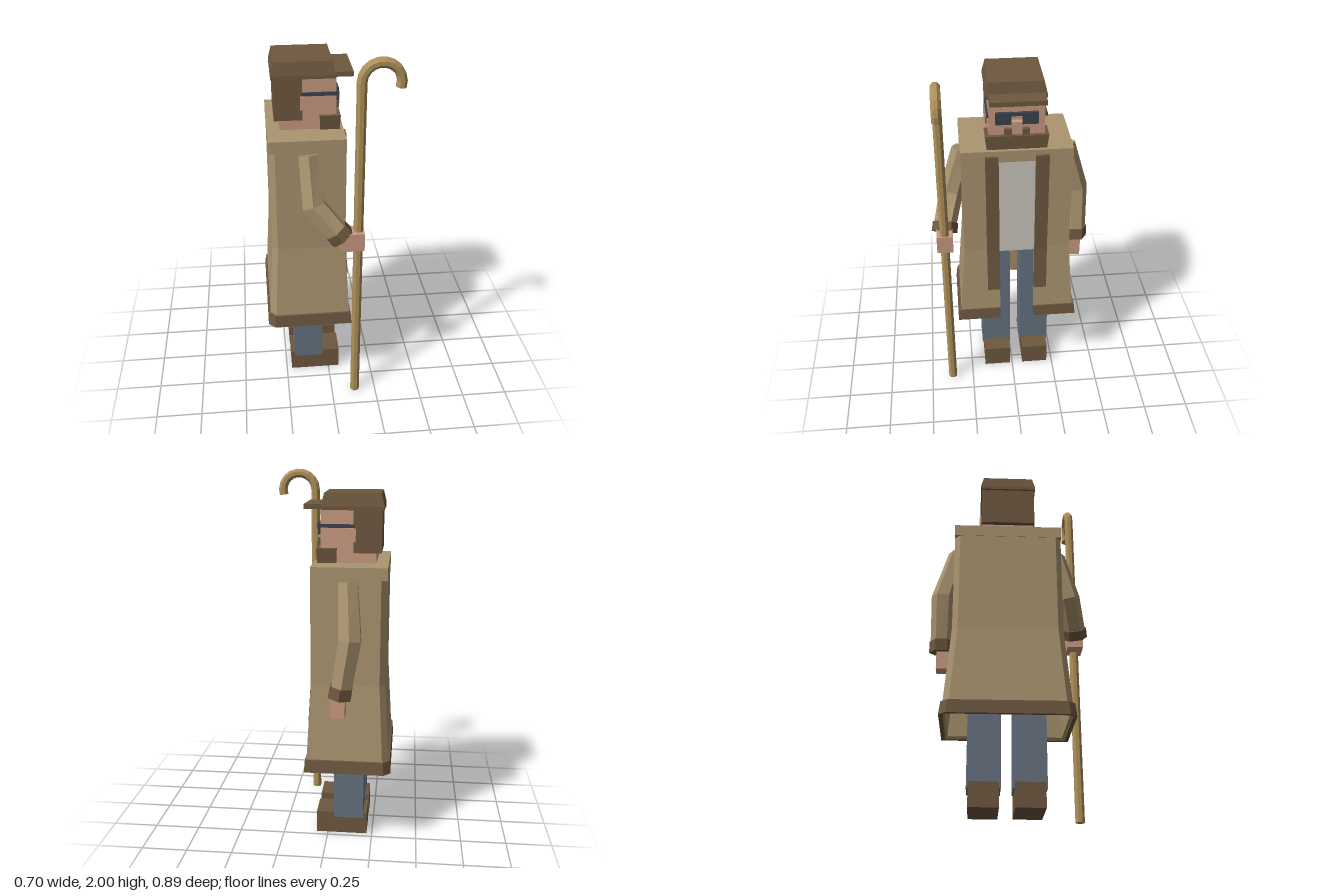
import * as THREE from 'three';

const V = (x, y, z) => new THREE.Vector3(x, y, z);
const paint = (name, color) => {
  const m = new THREE.MeshStandardMaterial({ color });
  m.name = name;
  return m;
};

// Skins rings of points (counterclockwise seen from the far end) with flat faces and end caps.
function loft(rings) {
  const out = [];
  const quad = (a, b, c, d) => [a, b, c, a, c, d].forEach((p) => out.push(p.x, p.y, p.z));
  const m = rings[0].length;
  for (let i = 0; i < rings.length - 1; i++) {
    for (let j = 0; j < m; j++) {
      const k = (j + 1) % m;
      quad(rings[i][j], rings[i][k], rings[i + 1][k], rings[i + 1][j]);
    }
  }
  const first = rings[0], last = rings[rings.length - 1];
  for (let j = 0; j < m / 2 - 1; j++) {
    quad(last[j], last[j + 1], last[m - 2 - j], last[m - 1 - j]);
    quad(first[m - 1 - j], first[m - 2 - j], first[j + 1], first[j]);
  }
  const g = new THREE.BufferGeometry();
  g.setAttribute('position', new THREE.Float32BufferAttribute(out, 3));
  g.computeVertexNormals();
  return g;
}

// Many-sided rod along a path, with a radius per point.
function rod(points, radii, sides) {
  const rings = points.map((p, i) => {
    const t = points[Math.min(i + 1, points.length - 1)].clone()
      .sub(points[Math.max(i - 1, 0)]).normalize();
    const u = V(0, 0, 1).cross(t).normalize();
    const v = t.clone().cross(u);
    return Array.from({ length: sides }, (_, j) => {
      const a = ((j + 0.5) / sides) * Math.PI * 2;
      return p.clone().addScaledVector(u, Math.cos(a) * radii[i]).addScaledVector(v, Math.sin(a) * radii[i]);
    });
  });
  return loft(rings);
}

// Rectangular ring at height y.
const rect = (y, x0, x1, z0, z1) => [V(x1, y, z0), V(x0, y, z0), V(x0, y, z1), V(x1, y, z1)];

// Thick coat section, open at the front, with cut back corners.
function coatRing(y, back, front, half, cut) {
  const w = 0.02, gap = 0.098;
  const side = (s, t) => [
    V(front - t, y, s * gap), V(front - t, y, s * (half - t)),
    V(back + cut, y, s * (half - t)), V(back + t, y, s * (half - cut)),
  ];
  return [
    ...side(-1, 0), ...side(1, 0).reverse(),
    ...side(1, w), ...side(-1, w).reverse(),
  ];
}

export function createModel() {
  const model = new THREE.Group();
  model.name = 'figureWithStaff';
  const tan = paint('coatTan', 0xab9570);
  const brown = paint('darkBrown', 0x6f5940);
  const skin = paint('skin', 0xcb9c83);
  const denim = paint('denim', 0x677482);
  const white = paint('shirtWhite', 0xcdcac1);
  const wood = paint('staffWood', 0xb0925a);
  const dark = paint('glassesDark', 0x3b434e);

  const body = new THREE.Group();
  body.name = 'body';
  body.position.z = -0.025;
  model.add(body);

  const add = (name, geometry, material, parent = body) => {
    const mesh = new THREE.Mesh(geometry, material);
    mesh.name = name;
    parent.add(mesh);
    return mesh;
  };
  const box = (name, material, x0, x1, y0, y1, z0, z1, parent = body) => {
    const mesh = add(name, new THREE.BoxGeometry(x1 - x0, y1 - y0, z1 - z0), material, parent);
    mesh.position.set((x0 + x1) / 2, (y0 + y1) / 2, (z0 + z1) / 2);
    return mesh;
  };

  // Coat, hem, shoulders and shirt
  add('coat', loft([
    coatRing(0.45, -0.34, 0.105, 0.332, 0.033),
    coatRing(0.92, -0.313, 0.08, 0.294, 0.03),
    coatRing(1.485, -0.313, 0.08, 0.294, 0.03),
  ]), tan);
  add('coatHem', loft([
    coatRing(0.435, -0.35, 0.115, 0.346, 0.036),
    coatRing(0.505, -0.345, 0.11, 0.338, 0.035),
  ]), brown);
  box('shoulders', tan, -0.315, 0.08, 1.48, 1.545, -0.295, 0.295);
  box('shirt', white, -0.2, 0.055, 0.885, 1.49, -0.2, 0.2);

  // Lapels, legs and boots
  for (const s of [-1, 1]) {
    const [z0, z1] = s < 0 ? [-0.168, -0.098] : [0.098, 0.168];
    add('lapel', loft([
      rect(0.65, 0.08, 0.112, z0, z1),
      rect(0.92, 0.07, 0.095, z0, z1),
      rect(1.517, 0.07, 0.095, z0, z1),
    ]), brown);
    const c = s * 0.116;
    box('leg', denim, -0.2, -0.035, 0.1, 0.9, c - 0.086, c + 0.086);
    box('boot', brown, -0.22, 0.063, 0, 0.127, c - 0.077, c + 0.077);
  }

  // Head, hair, beard and face
  const head = new THREE.Group();
  head.name = 'head';
  body.add(head);
  box('face', skin, -0.25, 0.043, 1.54, 1.82, -0.145, 0.145, head);
  box('hair', brown, -0.277, -0.13, 1.597, 1.825, -0.15, 0.15, head);
  add('beard', loft([
    rect(1.545, -0.04, 0.06, -0.157, 0.157),
    rect(1.622, -0.043, 0.064, -0.166, 0.166),
  ]), brown, head);
  box('nose', skin, 0.04, 0.072, 1.635, 1.705, -0.027, 0.027, head);
  box('moustache', brown, 0.04, 0.066, 1.628, 1.662, -0.065, 0.065, head);

  // Glasses and ears
  box('glassesBridge', dark, 0.043, 0.056, 1.73, 1.748, -0.11, 0.11, head);
  for (const s of [-1, 1]) {
    const lens = box('lens', dark, 0.043, 0.06, 1.685, 1.75, -0.041, 0.041, head);
    lens.position.z = s * 0.069;
    const temple = box('glassesTemple', dark, -0.135, 0.058, 1.727, 1.745, -0.005, 0.005, head);
    temple.position.z = s * 0.15;
    const ear = box('ear', skin, -0.142, -0.092, 1.655, 1.725, -0.01, 0.01, head);
    ear.position.z = s * 0.15;
  }

  // Cap with visor
  add('cap', loft([
    rect(1.817, -0.288, 0.038, -0.156, 0.156),
    rect(1.835, -0.288, 0.038, -0.156, 0.156),
    rect(1.903, -0.272, 0.024, -0.14, 0.14),
  ]), brown, head);
  box('capVisor', brown, 0.02, 0.13, 1.82, 1.845, -0.143, 0.143, head);

  // Left arm, bent forward to the staff
  const leftArm = new THREE.Group();
  leftArm.name = 'leftArm';
  model.add(leftArm);
  add('sleeve', rod(
    [V(-0.115, 1.465, 0.255), V(-0.095, 1.21, 0.325), V(0.03, 1.065, 0.37)],
    [0.058, 0.066, 0.062], 6), tan, leftArm);
  add('cuff', rod([V(0.018, 1.079, 0.366), V(0.053, 1.037, 0.374)], [0.07, 0.071], 6), brown, leftArm);
  box('hand', skin, 0.04, 0.162, 0.975, 1.077, 0.33, 0.418, leftArm);

  // Right arm, hanging down
  const rightArm = new THREE.Group();
  rightArm.name = 'rightArm';
  model.add(rightArm);
  add('sleeve', rod(
    [V(-0.115, 1.465, -0.302), V(-0.13, 1.18, -0.378), V(-0.085, 0.9, -0.38)],
    [0.058, 0.066, 0.06], 6), tan, rightArm);
  add('cuff', rod([V(-0.087, 0.935, -0.38), V(-0.078, 0.872, -0.379)], [0.066, 0.068], 6), brown, rightArm);
  box('hand', skin, -0.108, -0.03, 0.767, 0.885, -0.405, -0.33, rightArm);

  // Crook-topped staff
  const path = [V(0.133, 0, 0.375)];
  for (let i = 0; i <= 10; i++) {
    const a = Math.PI * (1 - (i / 10) * 1.095);
    path.push(V(0.228 + Math.cos(a) * 0.095, 1.88 + Math.sin(a) * 0.095, 0.375));
  }
  add('staff', rod(path, path.map(() => 0.026), 8), wood, model);

  return model;
}
